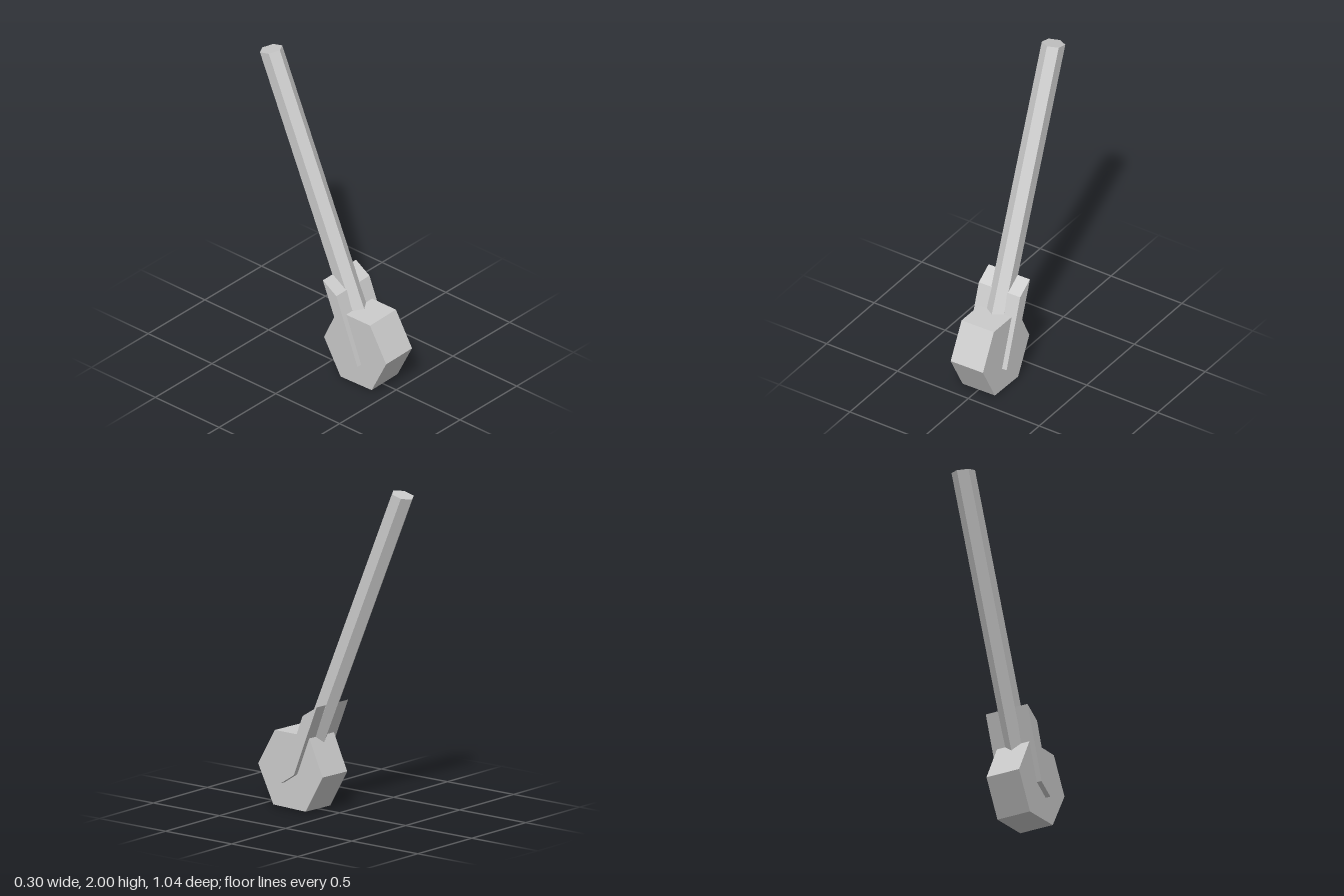
import * as THREE from 'three';

const material = new THREE.MeshStandardMaterial({ color: 0xcccccc, flatShading: true });

// Straight prism across x, from a side outline given as [z, y] corners
function prism(name, outline, width) {
  const shape = new THREE.Shape(outline.map(([z, y]) => new THREE.Vector2(z, y)));
  const geometry = new THREE.ExtrudeGeometry(shape, { depth: width, bevelEnabled: false });
  geometry.translate(0, 0, -width / 2).rotateY(-Math.PI / 2);
  const mesh = new THREE.Mesh(geometry, material);
  mesh.name = name;
  return mesh;
}

// Six-sided pole whose axis leans backwards, with slightly oblique end caps
function slantedPole(name, bottom, top, radius, capSlope) {
  const geometry = new THREE.CylinderGeometry(radius, radius, 1, 6);
  const pos = geometry.attributes.position;
  for (let i = 0; i < pos.count; i++) {
    const t = pos.getY(i) + 0.5;
    const z = pos.getZ(i);
    pos.setY(i, THREE.MathUtils.lerp(bottom.y, top.y, t) + z * capSlope);
    pos.setZ(i, THREE.MathUtils.lerp(bottom.z, top.z, t) + z);
  }
  geometry.computeVertexNormals();
  const mesh = new THREE.Mesh(geometry, material);
  mesh.name = name;
  return mesh;
}

export function createModel() {
  const group = new THREE.Group();
  group.name = 'wheelOnPole';

  // Hexagonal wheel
  group.add(prism('wheel', [
    [0.52, 0.242], [0.398, 0.461], [0.142, 0.459],
    [0.033, 0.23], [0.158, 0.006], [0.402, 0.013],
  ], 0.228));

  // Slanted block passing through the wheel
  group.add(prism('bracket', [
    [0.322, 0.157], [0.165, 0.585], [0.06, 0.652], [0.225, 0.22],
  ], 0.292));

  // Long pole rising backwards from the wheel centre
  group.add(slantedPole('pole',
    new THREE.Vector3(0, 0.27, 0.252), new THREE.Vector3(0, 1.982, -0.449), 0.069, 0.26));

  // The whole assembly leans very slightly sideways
  group.rotation.z = 0.022;
  group.position.x = 0.008;
  return group;
}
